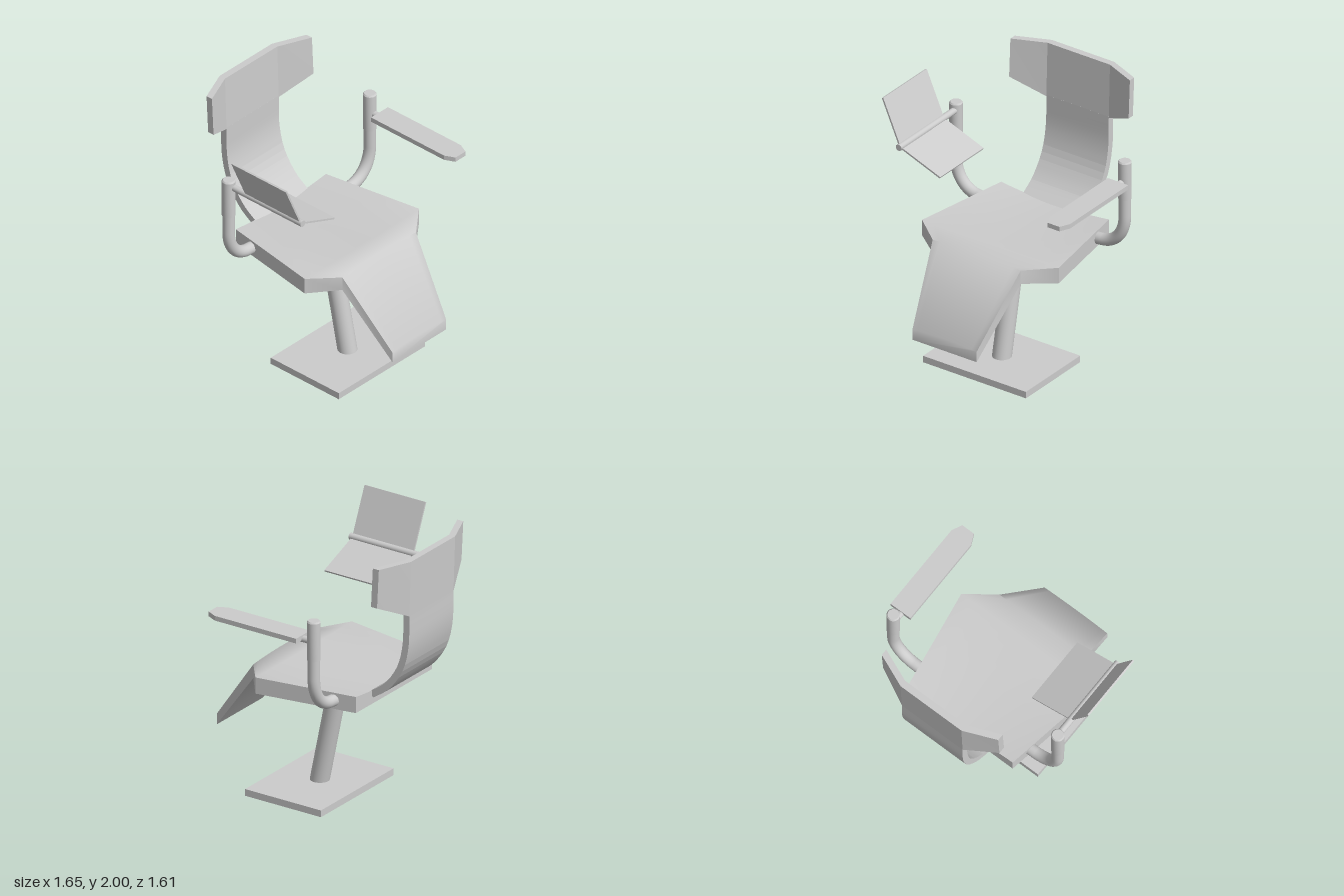
import * as THREE from 'three';
import { toCreasedNormals } from 'three/addons/utils/BufferGeometryUtils.js';

const CX = 0.025; // centre line of the chair body
const V = (x, y, z) => new THREE.Vector3(x, y, z);
const material = new THREE.MeshStandardMaterial({ color: 0xcccccc });

function part(name, geometry, parent) {
  const mesh = new THREE.Mesh(geometry, material);
  mesh.name = name;
  parent.add(mesh);
  return mesh;
}

// Closed solid through rings of points, counterclockwise about the loft direction
function loft(rings, crease) {
  const n = rings[0].length, last = (rings.length - 1) * n, index = [];
  for (let r = 0; r < rings.length - 1; r++) {
    for (let i = 0; i < n; i++) {
      const a = r * n + i, b = r * n + (i + 1) % n;
      index.push(a, b, b + n, a, b + n, a + n);
    }
  }
  for (let i = 1; i < n - 1; i++) {
    index.push(0, i + 1, i, last, last + i, last + i + 1);
  }
  const g = new THREE.BufferGeometry().setFromPoints(rings.flat());
  g.setIndex(index);
  return toCreasedNormals(g, crease);
}

// Round rod between two points
function rod(name, a, b, radius, parent) {
  const d = b.clone().sub(a);
  const mesh = part(name, new THREE.CylinderGeometry(radius, radius, d.length(), 24), parent);
  mesh.position.copy(a).add(b).multiplyScalar(0.5);
  mesh.quaternion.setFromUnitVectors(V(0, 1, 0), d.normalize());
  return mesh;
}

// Bent tube rising from the seat side, with a thicker sleeve on top
function armSupport(name, side, x, parent) {
  const arm = new THREE.Group();
  arm.name = name;
  parent.add(arm);
  const z = -0.31, seatX = CX + side * 0.44, bendX = CX + side * 0.54;
  const path = new THREE.CurvePath();
  path.add(new THREE.LineCurve3(V(seatX, 0.92, z), V(bendX, 0.93, z)));
  path.add(new THREE.CubicBezierCurve3(V(bendX, 0.93, z), V(x - side * 0.07, 0.95, z),
    V(x, 1.04, z), V(x, 1.17, z)));
  path.add(new THREE.LineCurve3(V(x, 1.17, z), V(x, 1.34, z)));
  part('armTube', new THREE.TubeGeometry(path, 40, 0.043, 20), arm);
  const profile = [[0, 1.31], [0.047, 1.31], [0.047, 1.59], [0.039, 1.6], [0, 1.6]];
  const sleeve = new THREE.LatheGeometry(profile.map(p => new THREE.Vector2(...p)), 24);
  part('armSleeve', toCreasedNormals(sleeve, 0.5), arm).position.set(x, 0, z);
  return arm;
}

export function createModel() {
  const chair = new THREE.Group();
  chair.name = 'chair';

  // Base plate and leaning post
  part('basePlate', new THREE.BoxGeometry(0.865, 0.05, 0.63), chair).position.set(CX, 0.025, 0.14);
  rod('post', V(CX, 0.03, 0.14), V(CX, 0.88, -0.035), 0.068, chair);

  // Seat and footrest: z, half width, bottom, top at edge, top at centre
  const COLS = 12;
  const seatRings = [
    [-0.48, 0.453, 0.86, 0.98, 0.95],
    [-0.1, 0.514, 0.86, 0.98, 0.96],
    [0.27, 0.575, 0.86, 0.98, 0.975],
    [0.43, 0.37, 0.86, 0.963, 0.98],
    [0.803, 0.27, 0.385, 0.465, 0.478],
  ].map(([z, w, bottom, edge, mid]) => {
    const ring = [V(CX - w, bottom, z), V(CX + w, bottom, z)];
    for (let i = 0; i <= COLS; i++) {
      const t = 1 - 2 * i / COLS;
      ring.push(V(CX + t * w, mid + (edge - mid) * t * t, z));
    }
    return ring;
  });
  part('seatAndFootrest', loft(seatRings, 1.0), chair);

  // Backrest: curved strip of constant width
  const W = 0.2625;
  const spine = new THREE.CatmullRomCurve3([
    V(0, 0.93, -0.475), V(0, 1.02, -0.6), V(0, 1.175, -0.71),
    V(0, 1.36, -0.759), V(0, 1.6, -0.766),
  ]);
  const backRings = [];
  for (let i = 0; i <= 14; i++) {
    const p = spine.getPoint(i / 14), t = spine.getTangent(i / 14);
    const oy = t.z * -0.025, oz = t.y * 0.025;
    backRings.push([
      V(CX - W, p.y + oy, p.z + oz), V(CX + W, p.y + oy, p.z + oz),
      V(CX + W, p.y - oy, p.z - oz), V(CX - W, p.y - oy, p.z - oz),
    ]);
  }
  part('backrest', loft(backRings, 0.1), chair);

  // Headrest with wings folded forward: x, lower edge, front z below, front z on top
  const headRings = [
    [-0.5025, 1.71, -0.64, -0.655], [-W, 1.59, -0.741, -0.755],
    [W, 1.59, -0.741, -0.755], [0.5025, 1.71, -0.64, -0.655],
  ].map(([x, y, zLow, zTop]) => [
    V(CX + x, y, zLow - 0.05), V(CX + x, 2, zTop - 0.05), V(CX + x, 2, zTop), V(CX + x, y, zLow),
  ]);
  part('headrest', loft(headRings, 0.2), chair);

  // Left arm: pad with a chamfered front, carried by a rod
  const left = armSupport('leftArm', 1, 0.735, chair);
  rod('padRod', V(0.735, 1.443, -0.31), V(0.735, 1.443, 0.37), 0.024, left);
  const outline = [[0.655, 0.225], [0.655, -0.45], [0.69, -0.525],
    [0.79, -0.525], [0.825, -0.45], [0.825, 0.225]];
  const padShape = new THREE.Shape(outline.map(p => new THREE.Vector2(...p)));
  const pad = part('armPad',
    new THREE.ExtrudeGeometry(padShape, { depth: 0.035, bevelEnabled: false }), left);
  pad.rotation.x = -Math.PI / 2;
  pad.position.y = 1.44;

  // Right arm: rod carrying two thin folding panels
  const right = armSupport('rightArm', -1, -0.685, chair);
  rod('panelRod', V(-0.675, 1.545, -0.31), V(-0.675, 1.545, 0.37), 0.024, right);
  for (const [name, x, y] of [['uprightPanel', -0.823, 1.877], ['trayPanel', -0.34, 1.412]]) {
    const dx = x + 0.675, dy = y - 1.54;
    const panel = part(name, new THREE.BoxGeometry(Math.hypot(dx, dy), 0.013, 0.505), right);
    panel.position.set(-0.675 + dx / 2, 1.54 + dy / 2, 0.1);
    panel.rotation.z = Math.atan2(dy, dx);
  }
  return chair;
}
